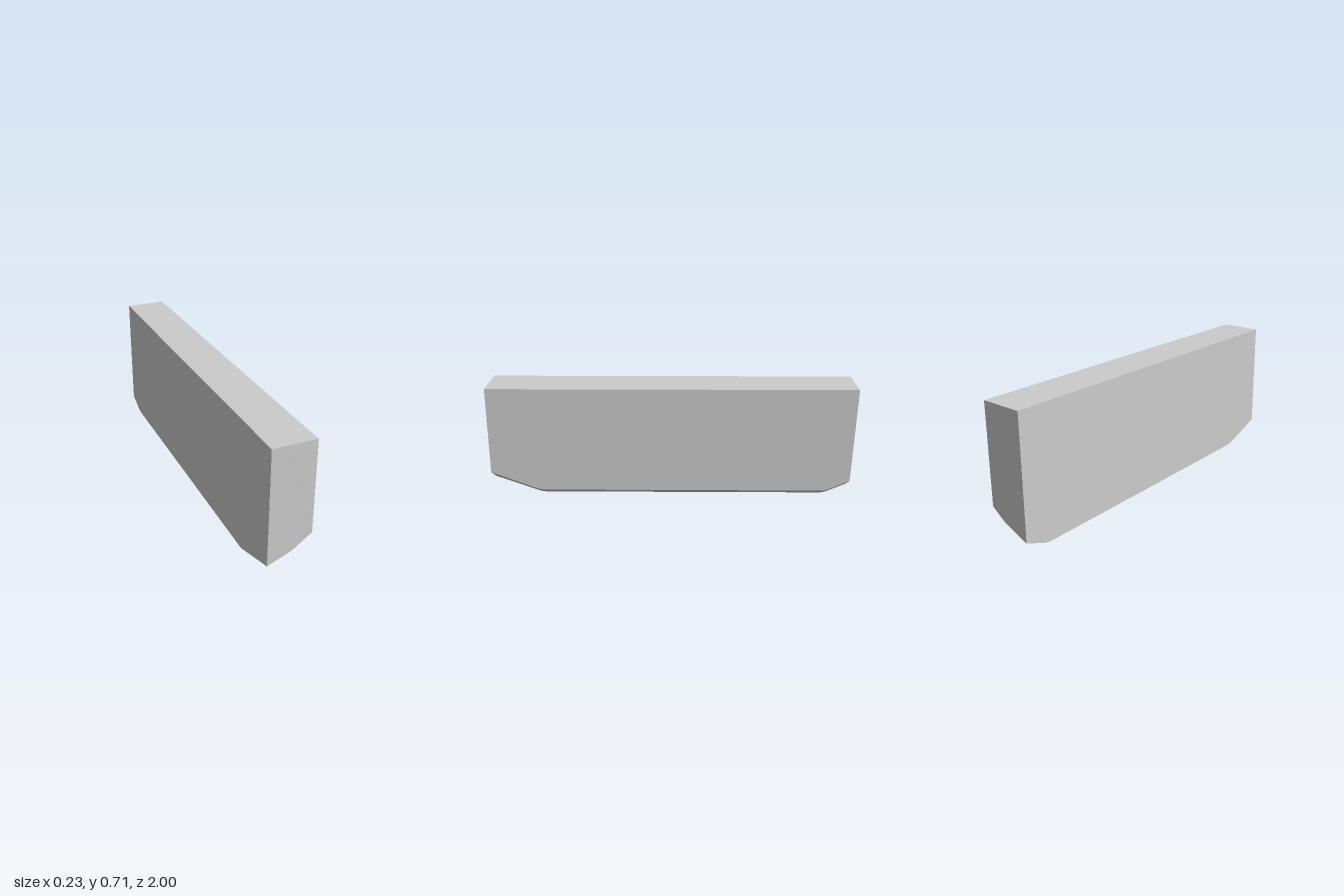
import * as THREE from 'three';
import { toCreasedNormals } from 'three/addons/utils/BufferGeometryUtils.js';

const HALF = 0.114;   // half thickness
const TOP = 0.71;     // height of the flat top
const STEPS = 5;      // segments in each softened crease

const v = (x, y, z) => new THREE.Vector3(x, y, z);

// Replace the inner corners of a polyline with small curves
function soften(points, radius) {
  const out = [points[0]];
  for (let i = 1; i < points.length - 1; i++) {
    const p = points[i];
    const toward = (q) => p.clone().add(q.clone().sub(p).setLength(radius));
    const curve = new THREE.QuadraticBezierCurve3(toward(points[i - 1]), p, toward(points[i + 1]));
    out.push(...curve.getPoints(STEPS));
  }
  out.push(points[points.length - 1]);
  return out;
}

// Closed cross-section: faceted sloping underside, then the straight sides and top
function section(crease, lift, z, topZ) {
  const y1 = lift + 0.41 * (crease + HALF);
  const y2 = y1 + 0.74 * (HALF - crease);
  const under = soften([v(-HALF, lift, z), v(crease, y1, z), v(HALF, y2, z)], 0.015);
  return [...under, v(HALF, TOP, topZ), v(-HALF, TOP, topZ)];
}

function blockGeometry() {
  // Underside path from back to front: crease x, lift, z
  const path = soften([
    v(0.037, 0.055, -1), v(0.055, 0, -0.87), v(0.055, 0, 0.73), v(0.01, 0.093, 1),
  ], 0.025);
  // The front face leans back slightly at the top
  const rings = path.map((p) => section(p.x, p.y, p.z, Math.min(p.z, 0.988)));
  const n = rings[0].length;
  const last = (rings.length - 1) * n;
  const index = [];

  // Skin between cross-sections
  for (let s = 0; s < rings.length - 1; s++) {
    for (let i = 0; i < n; i++) {
      const a = s * n + i, b = s * n + (i + 1) % n;
      index.push(a, b, b + n, a, b + n, a + n);
    }
  }
  // End caps
  for (let i = 0; i < n - 2; i++) {
    index.push(last + n - 1, last + i, last + i + 1);
    index.push(n - 1, i + 1, i);
  }

  const geometry = new THREE.BufferGeometry().setFromPoints(rings.flat());
  geometry.setIndex(index);
  return toCreasedNormals(geometry, THREE.MathUtils.degToRad(8));
}

export function createModel() {
  const model = new THREE.Group();
  model.name = 'bevelledBlock';
  const block = new THREE.Mesh(blockGeometry(), new THREE.MeshStandardMaterial({ color: 0xcccccc }));
  block.name = 'block';
  model.add(block);
  return model;
}
